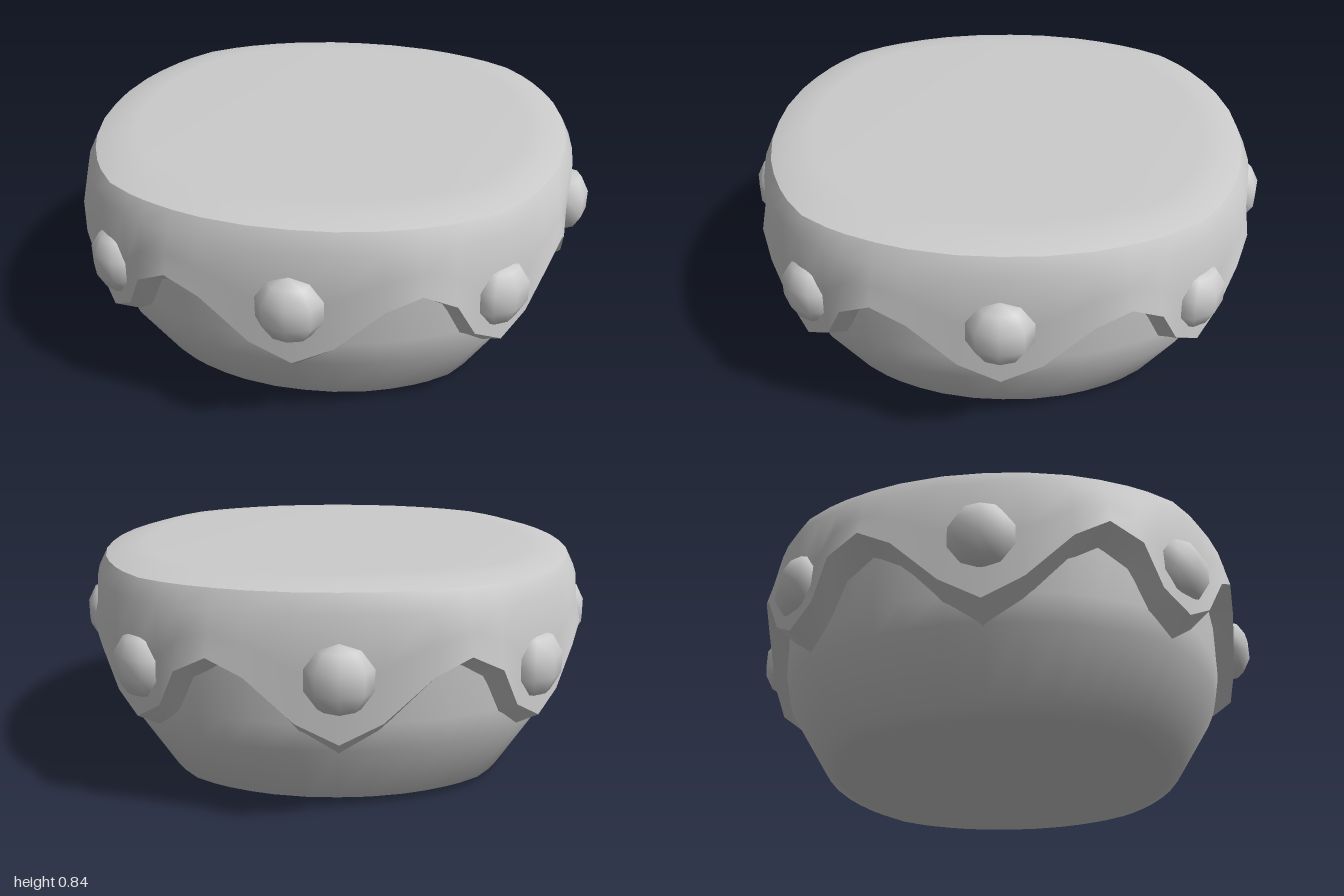
import * as THREE from 'three';
import { toCreasedNormals } from 'three/addons/utils/BufferGeometryUtils.js';

// One eighth of the outline: angle (deg), cake radius, icing lip radius, lip height
const EIGHTH = [
  [0, 0.92, 0.906, 0.31],
  [9, 0.925, 0.92, 0.385],
  [19, 0.935, 0.95, 0.54],
  [26, 0.944, 0.978, 0.6],
  [33, 0.956, 0.99, 0.54],
  [38, 0.965, 0.975, 0.4],
  [45, 0.976, 0.976, 0.335],
];

// Mirror the eighth into a quarter, then repeat it four times
function outline() {
  const mirrored = EIGHTH.slice(1, -1).reverse().map(([a, ...rest]) => [90 - a, ...rest]);
  const quarter = [...EIGHTH, ...mirrored];
  const all = [];
  for (let q = 0; q < 4; q++) {
    for (const [a, r, lipR, lipY] of quarter) {
      all.push({ a: THREE.MathUtils.degToRad(a + 90 * q), r, lipR, lipY });
    }
  }
  return all;
}

// Skin a stack of rings; each ring maps an outline point to [radius, height]
function skin(points, rings, crease) {
  const pos = [];
  const idx = [];
  const n = points.length;
  for (const ring of rings) {
    for (const p of points) {
      const [r, y] = ring(p);
      pos.push(Math.sin(p.a) * r, y, Math.cos(p.a) * r);
    }
  }
  const radius = (i) => Math.hypot(pos[i * 3], pos[i * 3 + 2]);
  for (let i = 0; i < rings.length - 1; i++) {
    for (let j = 0; j < n; j++) {
      const a = i * n + j;
      const b = i * n + ((j + 1) % n);
      const c = b + n;
      const d = a + n;
      if (radius(a) > 1e-6) idx.push(a, b, c);
      if (radius(d) > 1e-6) idx.push(a, c, d);
    }
  }
  const geo = new THREE.BufferGeometry();
  geo.setAttribute('position', new THREE.Float32BufferAttribute(pos, 3));
  geo.setIndex(idx);
  return toCreasedNormals(geo, crease);
}

export function createModel() {
  const group = new THREE.Group();
  group.name = 'cake';
  const material = new THREE.MeshStandardMaterial({ color: 0xcccccc });
  const points = outline();

  const add = (name, geometry) => {
    const mesh = new THREE.Mesh(geometry, material);
    mesh.name = name;
    group.add(mesh);
    return mesh;
  };

  // Tapered cake base, running up inside the icing
  const baseProfile = [[0, 0], [0.69, 0], [0.75, 0.025], [0.905, 0.26], [0.925, 0.36], [0.935, 0.64]];
  add('base', skin(points, baseProfile.map(([s, y]) => (p) => [p.r * s, y]), 0.9));

  // Icing: tucked-in underside, scalloped lip, wall, rounded rim and flat top
  add('icing', skin(points, [
    (p) => [p.r * 0.9, p.lipY - 0.06],
    (p) => [p.lipR, p.lipY],
    (p) => [(p.lipR + p.r) / 2, (p.lipY + 0.75) / 2],
    (p) => [p.r, 0.75],
    (p) => [p.r * 0.965, 0.815],
    (p) => [p.r * 0.88, 0.838],
    (p) => [p.r * 0.8, 0.84],
    () => [0, 0.84],
  ], 0.7));

  // Eight faceted beads around the sides
  const bead = new THREE.SphereGeometry(0.12, 8, 5);
  for (let i = 0; i < 8; i++) {
    const corner = i % 2 === 1;
    const angle = (i * Math.PI) / 4;
    const r = corner ? 0.95 : 0.92;
    const mesh = add('bead', bead);
    mesh.position.set(Math.sin(angle) * r, corner ? 0.515 : 0.538, Math.cos(angle) * r);
    mesh.rotation.y = angle;
    mesh.scale.set(1, 1, 0.7);
  }
  return group;
}
